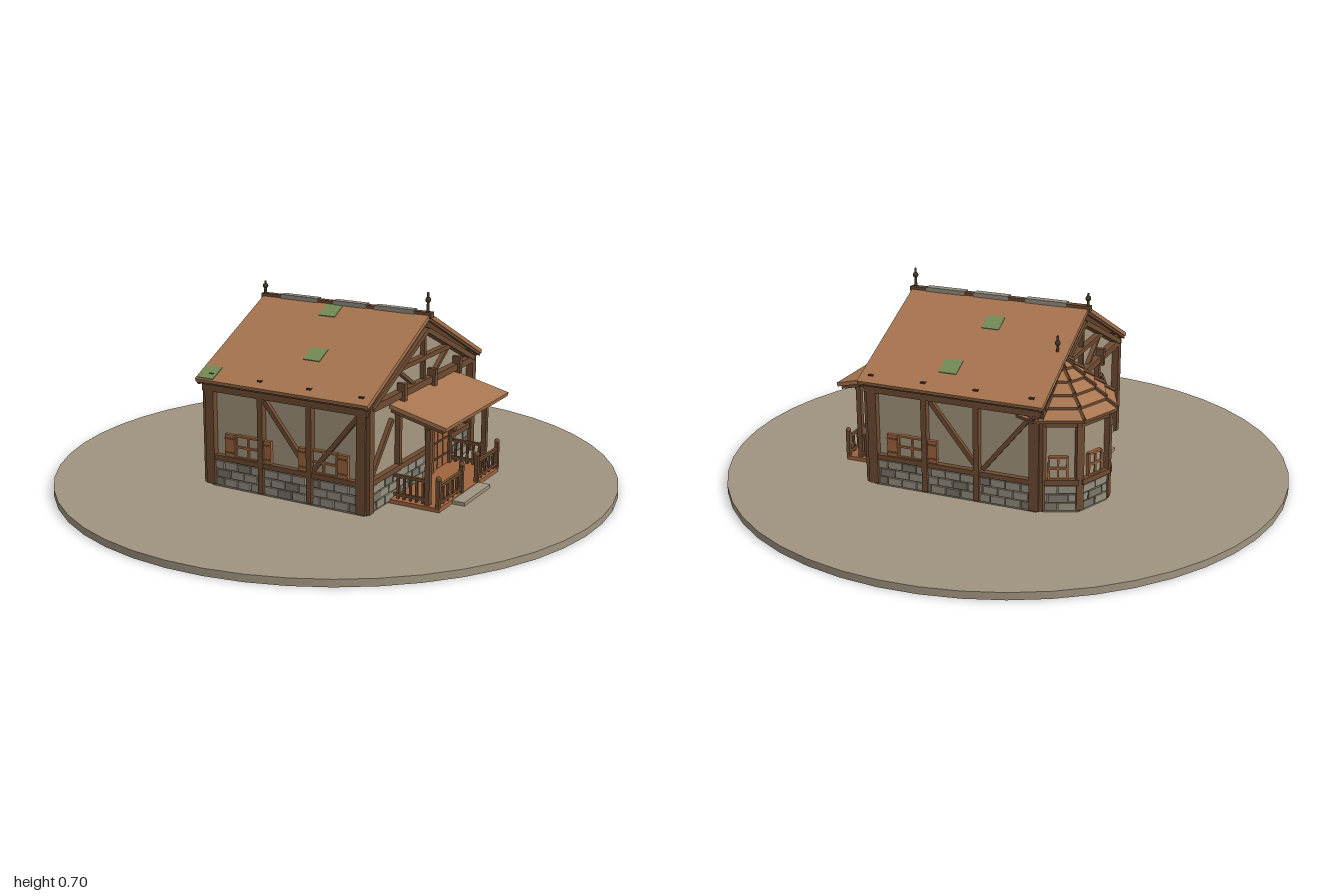
import * as THREE from 'three';

const paint = (name, color) => {
  const m = new THREE.MeshStandardMaterial({ color });
  m.name = name;
  return m;
};
const M = {
  ground: paint('earth', 0xa09480), plaster: paint('plaster', 0xa6977f),
  roof: paint('roof clay', 0xa87550), timber: paint('timber', 0x6f4c32),
  door: paint('warm wood', 0xa0653f), stone: paint('stone', 0x968f80),
  stoneDark: paint('dark stone', 0x7d7668), moss: paint('moss', 0x748c56),
  metal: paint('dark iron', 0x443629),
};

function add(parent, name, geo, mat, x = 0, y = 0, z = 0) {
  const mesh = new THREE.Mesh(geo, mat);
  mesh.name = name;
  mesh.position.set(x, y, z);
  parent.add(mesh);
  return mesh;
}
const box = (p, name, mat, w, h, d, x, y, z) =>
  add(p, name, new THREE.BoxGeometry(w, h, d), mat, x, y, z);

// Straight beam between two points
function beam(p, name, mat, a, b, w, d = w) {
  const A = new THREE.Vector3(...a), B = new THREE.Vector3(...b);
  const dir = B.clone().sub(A), mid = A.clone().add(B).multiplyScalar(0.5);
  const m = box(p, name, mat, w, dir.length(), d, mid.x, mid.y, mid.z);
  m.quaternion.setFromUnitVectors(new THREE.Vector3(0, 1, 0), dir.normalize());
  return m;
}

// Local wall frame: x along the wall, z pointing outwards
function wallFrame(parent, name, x, z, turn) {
  const g = new THREE.Group();
  g.name = name;
  g.position.set(x, 0, z);
  g.rotation.y = turn;
  parent.add(g);
  return g;
}

// Three courses of staggered stone blocks, with a sill beam on top
function stoneBase(p, u0, u1) {
  const len = u1 - u0, n = Math.max(2, Math.round(len / 0.055)), w = len / n;
  box(p, 'mortar', M.stoneDark, len, 0.1, 0.012, (u0 + u1) / 2, 0.075, 0);
  for (let row = 0; row < 3; row++) {
    for (let i = 0; i < n + (row % 2); i++) {
      const s = Math.max(u0, u0 + (i - (row % 2) / 2) * w);
      const e = Math.min(u1, u0 + (i + 1 - (row % 2) / 2) * w);
      box(p, 'stoneBlock', (i * 3 + row * 2) % 5 === 0 ? M.stoneDark : M.stone,
        e - s - 0.004, 0.026, 0.014 + ((i + row) % 3) * 0.002, (s + e) / 2, 0.046 + row * 0.03, 0.005);
    }
  }
  box(p, 'sillBeam', M.timber, len, 0.018, 0.03, (u0 + u1) / 2, 0.134, 0.005);
}

function windowSet(p, u, shutters = true, w = 0.1) {
  const y = 0.182, h = 0.076;
  box(p, 'windowPane', M.plaster, w, h, 0.008, u, y, 0.004);
  for (const k of [-1, 0, 1]) {
    box(p, 'windowBar', M.door, 0.007, h, 0.014, u + k * w / 2, y, 0.006);
    box(p, 'windowRail', M.door, w, 0.007, 0.014, u, y + k * h / 2, 0.006);
  }
  if (shutters) for (const s of [-1, 1]) {
    box(p, 'shutter', M.door, 0.038, 0.08, 0.012, u + s * (w / 2 + 0.024), y, 0.009);
    for (const k of [-1, 1])
      box(p, 'shutterBatten', M.timber, 0.038, 0.006, 0.016, u + s * (w / 2 + 0.024), y + k * 0.025, 0.009);
  }
}

// Plank door with frame
function door(p, u, w, mat) {
  box(p, 'doorLeaf', mat, w, 0.24, 0.012, u, 0.16, 0.008);
  for (const s of [-1, 1]) box(p, 'doorJamb', M.timber, 0.016, 0.26, 0.026, u + s * (w / 2 + 0.006), 0.165, 0.01);
  box(p, 'doorLintel', M.timber, w + 0.04, 0.018, 0.028, u, 0.292, 0.01);
  for (const y of [0.08, 0.14, 0.2, 0.26]) box(p, 'doorBatten', M.timber, w, 0.006, 0.018, u, y, 0.009);
  for (const k of [-1, 1]) box(p, 'doorGroove', M.timber, 0.004, 0.24, 0.014, u + k * w / 6, 0.16, 0.009);
}

const bottomOfGable = 0.385;
const brace = (p, a, b) => beam(p, 'brace', M.timber, [...a, 0.004], [...b, 0.004], 0.016, 0.02);

function longWall(root, side) {
  const w = wallFrame(root, side > 0 ? 'frontWall' : 'backWall', 0.035, side * 0.385, side > 0 ? 0 : Math.PI);
  stoneBase(w, -0.3, 0.3);
  box(w, 'topBeam', M.timber, 0.64, 0.025, 0.035, 0, 0.38, 0.008);
  for (const x of [-0.295, -0.09, 0.1, 0.295]) {
    const corner = Math.abs(x) > 0.2;
    box(w, 'wallPost', M.timber, corner ? 0.034 : 0.02, 0.345, 0.03, x * side, 0.208, 0.008);
    box(w, 'postTop', M.metal, 0.018, 0.06, 0.018, (x + (x < -0.2 ? 0.01 : 0)) * side, 0.4, 0.012);
  }
  brace(w, [-0.08, 0.36], [0.09, 0.15]);
  brace(w, [0.11, 0.15], [0.28, 0.36]);
  if (side > 0) windowSet(w, -0.145);
  windowSet(w, side * 0.15);
}

function gableWall(root, side) {
  const w = wallFrame(root, side > 0 ? 'porchGable' : 'rearGable', side > 0 ? 0.335 : -0.265, 0, side * Math.PI / 2);
  const at = z => -z * side;                     // world z to local x
  const span = (a, b) => stoneBase(w, Math.min(at(a), at(b)), Math.max(at(a), at(b)));
  const dz = side > 0 ? -0.135 : 0.125, dw = 0.13;
  span(0.385, dz + dw / 2 + 0.01);
  span(dz - dw / 2 - 0.01, -0.385);
  door(w, at(dz), dw, side > 0 ? M.door : M.stoneDark);
  box(w, 'tieBeam', M.timber, 0.8, 0.024, 0.035, 0, 0.387, 0.008);
  box(w, 'collarBeam', M.timber, 0.38, 0.016, 0.028, 0, 0.475, 0.008);
  for (const s of [-1, 1]) {
    box(w, 'cornerPost', M.timber, 0.03, 0.345, 0.034, s * 0.386, 0.208, 0.008);
    beam(w, 'gableRafter', M.timber, [s * 0.385, 0.389, 0.01], [0, 0.57, 0.01], 0.018, 0.036);
    beam(w, 'gableStrut', M.timber, [s * 0.19, 0.47, 0.006], [s * 0.07, 0.395, 0.006], 0.012, 0.018);
    brace(w, [s * 0.36, 0.15], [s * 0.22, 0.31]);
  }
  for (const z of [0.175, -0.05, -0.25]) {
    box(w, 'gablePost', M.timber, 0.018, 0.25, 0.024, at(z), 0.27, 0.006);
    box(w, 'gablePostTop', M.timber, 0.018, 0.06, 0.03, at(z), 0.395, 0.02);
  }
  box(w, 'kingPost', M.timber, 0.014, 0.17, 0.02, 0, 0.475, 0.006);
}

function finial(p, x, y, z, h) {
  add(p, 'finialRod', new THREE.CylinderGeometry(0.004, 0.006, h, 8), M.metal, x, y + h / 2, z);
  add(p, 'finialBall', new THREE.SphereGeometry(0.01, 10, 8), M.metal, x, y + h * 0.68, z);
}

function mainRoof(root) {
  const L = Math.hypot(0.43, 0.215), tilt = Math.atan2(0.215, 0.43);
  for (const s of [-1, 1]) {
    const slope = new THREE.Group();
    slope.name = s > 0 ? 'frontRoof' : 'backRoof';
    slope.position.set(0.035, 0.5125, s * 0.215);
    slope.rotation.x = s * tilt;
    root.add(slope);
    box(slope, 'roofSlab', M.roof, 0.666, 0.014, L, 0, 0, 0);
    for (const e of [-1, 1]) box(slope, 'bargeBoard', M.timber, 0.012, 0.014, L, e * 0.324, -0.009, 0);
    box(slope, 'eaveBoard', M.timber, 0.66, 0.012, 0.014, 0, -0.01, s * (L / 2 - 0.01));
    const patches = s > 0 ? [[-0.26, 0.395], [0.07, 0.25], [0.005, 0.042]] : [[0.07, 0.32], [0.005, 0.115]];
    for (const [x, z] of patches)
      box(slope, 'mossPatch', M.moss, 0.064, 0.004, 0.064, x - 0.035, 0.0075, s * (z - 0.215) / Math.cos(tilt));
  }
  box(root, 'ridgeBeam', M.timber, 0.68, 0.02, 0.024, 0.035, 0.622, 0);
  [[-0.145, 0.15], [0.06, 0.13], [0.235, 0.15]].forEach(([x, w]) =>
    box(root, 'ridgeStone', M.stone, w, 0.024, 0.029, x, 0.624, 0));
  finial(root, -0.295, 0.62, 0, 0.055);
  finial(root, 0.358, 0.62, 0, 0.078);
}

function porch(root) {
  const p = new THREE.Group();
  p.name = 'porch';
  root.add(p);
  box(p, 'deck', M.door, 0.19, 0.014, 0.48, 0.435, 0.032, 0);
  box(p, 'porchStep', M.ground, 0.07, 0.012, 0.21, 0.54, 0.031, 0.037);
  const a = Math.atan2(0.05, 0.205);
  const roof = box(p, 'porchRoof', M.roof, 0.212, 0.014, 0.5, 0.45, 0.337, 0);
  roof.rotation.z = -a;
  for (const s of [-1, 1])
    beam(p, 'porchRafter', M.timber, [0.35, 0.348, s * 0.235], [0.54, 0.302, s * 0.235], 0.014);
  box(p, 'porchBeam', M.timber, 0.02, 0.02, 0.47, 0.48, 0.308, 0);
  for (const s of [-1, 1]) {
    box(p, 'porchPost', M.timber, 0.018, 0.27, 0.018, 0.48, 0.17, s * 0.222);
    for (const y of [0.055, 0.12]) box(p, 'sideRail', M.timber, 0.12, 0.01, 0.012, 0.415, y, s * 0.222);
    for (let i = 0; i < 5; i++) box(p, 'baluster', M.timber, 0.008, 0.08, 0.008, 0.37 + i * 0.023, 0.08, s * 0.222);
    // Front railing either side of the entrance
    const z0 = s > 0 ? 0.06 : -0.065, z1 = s * 0.235;
    for (const z of [z0, z1]) {
      box(p, 'newelPost', M.timber, 0.014, 0.1, 0.014, 0.524, 0.085, z);
      add(p, 'newelKnob', new THREE.SphereGeometry(0.01, 8, 6), M.timber, 0.524, 0.138, z);
    }
    for (const y of [0.055, 0.112]) box(p, 'frontRail', M.timber, 0.01, 0.01, Math.abs(z1 - z0), 0.524, y, (z0 + z1) / 2);
    for (let i = 1; i < 5; i++) box(p, 'baluster', M.timber, 0.008, 0.07, 0.008, 0.524, 0.08, z0 + (z1 - z0) * i / 5);
  }
}

// Eight-sided bay tower with a tiered roof
function tower(root) {
  const t = new THREE.Group();
  t.name = 'tower';
  t.position.set(-0.262, 0, -0.202);
  root.add(t);
  const R = 0.178, side = 2 * R * Math.sin(Math.PI / 8), ap = R * Math.cos(Math.PI / 8);
  const prism = (rt, rb, h) => new THREE.CylinderGeometry(rt, rb, h, 8).toNonIndexed();
  const flat = g => { g.computeVertexNormals(); return g; };
  add(t, 'towerWall', flat(prism(R, R, 0.32)), M.plaster, 0, 0.185, 0);
  add(t, 'towerTopBeam', flat(prism(R + 0.016, R + 0.016, 0.022)), M.timber, 0, 0.338, 0);
  for (let i = 4; i < 8; i++) {                  // outward faces
    const a = (i + 0.5) * Math.PI / 4;
    const f = wallFrame(t, 'towerFace', Math.sin(a) * ap, Math.cos(a) * ap, a);
    stoneBase(f, -side / 2, side / 2);
    windowSet(f, 0, false, 0.06);
  }
  for (let i = 4; i <= 8; i++) {
    const a = i * Math.PI / 4;
    const post = box(t, 'towerPost', M.timber, 0.026, 0.315, 0.026, Math.sin(a) * R, 0.193, Math.cos(a) * R);
    post.rotation.y = a;
  }
  for (let i = 0; i < 5; i++) {
    const r = 0.214 - i * 0.039, y = 0.352 + i * 0.032;
    add(t, 'tierEdge', flat(prism(r, r, 0.01)), M.timber, 0, y, 0);
    add(t, 'roofTier', flat(prism(Math.max(r - 0.05, 0.004), r, 0.03)), M.roof, 0, y + 0.02, 0);
    for (let k = 4; k <= 8; k++) {
      const a = k * Math.PI / 4, r1 = r - 0.045;
      beam(t, 'hipRib', M.timber, [Math.sin(a) * r, y + 0.008, Math.cos(a) * r],
        [Math.sin(a) * r1, y + 0.034, Math.cos(a) * r1], 0.01);
    }
  }
  finial(t, 0, 0.5, 0, 0.08);
}

export function createModel() {
  const root = new THREE.Group();
  root.name = 'cottage';
  add(root, 'groundDisc', new THREE.CylinderGeometry(1, 1, 0.025, 48), M.ground, 0, 0.0125, 0);

  // Plastered core with gabled ends
  const s = new THREE.Shape();
  s.moveTo(-0.385, 0.025);
  s.lineTo(0.385, 0.025);
  s.lineTo(0.385, bottomOfGable);
  s.lineTo(0, 0.565);
  s.lineTo(-0.385, bottomOfGable);
  const core = add(root, 'plasterWalls', new THREE.ExtrudeGeometry(s, { depth: 0.6, bevelEnabled: false }), M.plaster, -0.265, 0, 0);
  core.rotation.y = Math.PI / 2;

  for (const side of [1, -1]) {
    longWall(root, side);
    gableWall(root, side);
  }
  mainRoof(root);
  porch(root);
  tower(root);
  box(root, 'rearStep', M.ground, 0.06, 0.012, 0.18, -0.305, 0.031, 0.125);
  return root;
}
